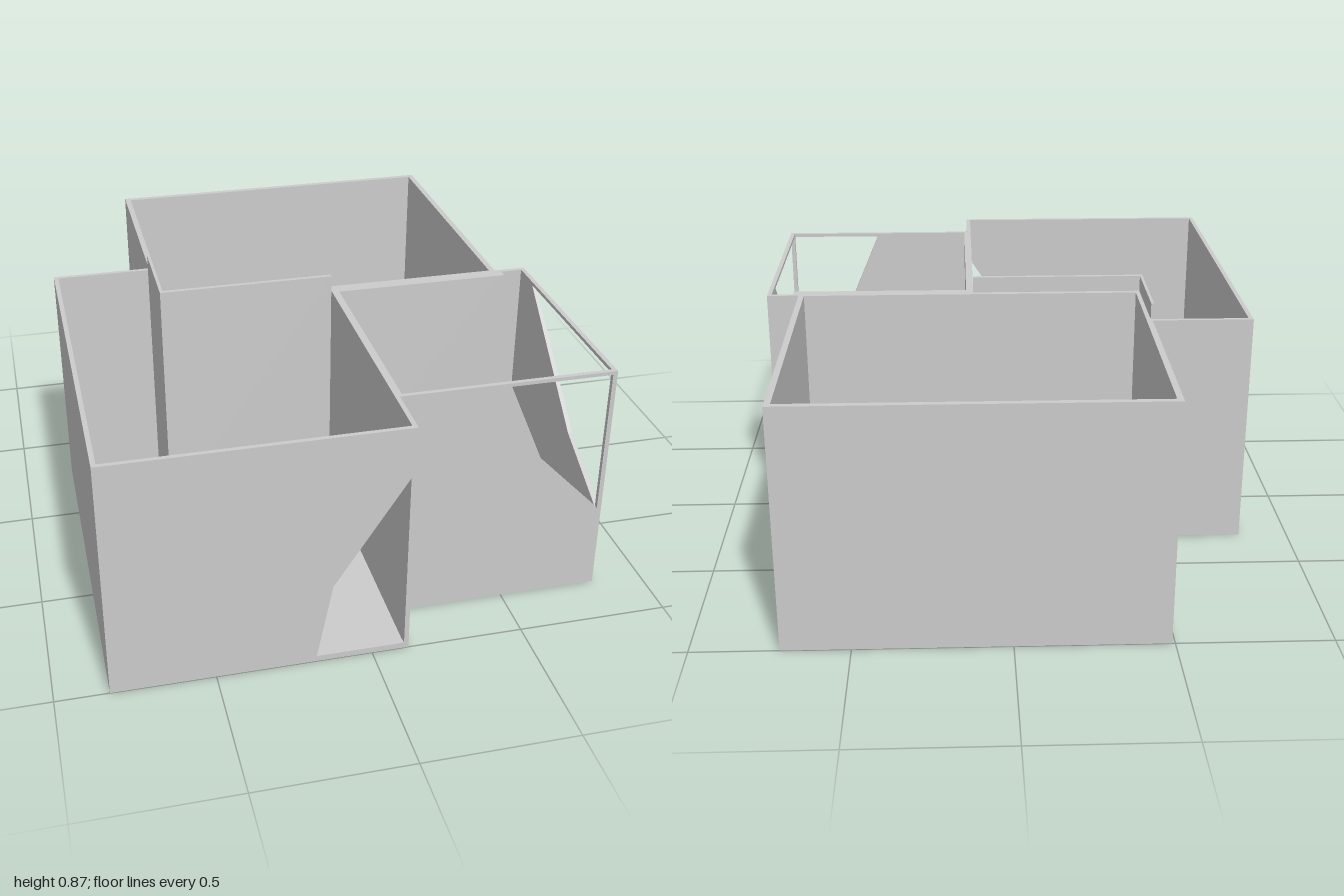
import * as THREE from 'three';

const H = 0.812; // wall height
const T = 0.015; // thin wall thickness
const material = new THREE.MeshStandardMaterial({ color: 0xcccccc, flatShading: true });

// Solid block given by its limits on each axis
function block(name, x0, x1, y0, y1, z0, z1) {
  const mesh = new THREE.Mesh(new THREE.BoxGeometry(x1 - x0, y1 - y0, z1 - z0), material);
  mesh.position.set((x0 + x1) / 2, (y0 + y1) / 2, (z0 + z1) / 2);
  mesh.name = name;
  return mesh;
}

// Upright panel from u0 to u1 with a polygonal opening, extruded by T
function openPanel(name, u0, u1, opening) {
  const shape = new THREE.Shape([[u0, 0], [u1, 0], [u1, H], [u0, H]].map(p => new THREE.Vector2(...p)));
  shape.holes.push(new THREE.Path(opening.map(p => new THREE.Vector2(...p))));
  const mesh = new THREE.Mesh(
    new THREE.ExtrudeGeometry(shape, { depth: T, bevelEnabled: false }), material);
  mesh.name = name;
  return mesh;
}

function room(name, ...parts) {
  const group = new THREE.Group();
  group.name = name;
  group.add(...parts);
  return group;
}

export function createModel() {
  const model = new THREE.Group();
  model.name = 'threeRooms';

  // Large rectangular room at the back
  model.add(room('backRoom',
    block('floor', -0.49, 0.72, 0, T, -1, 0),
    block('backWall', -0.49, 0.72, 0, H, -1, -0.98),
    block('rightWall', -0.49, -0.47, 0, H, -0.98, 0.02),
    block('leftWall', 0.70, 0.72, 0, H, -0.98, 0.02),
    block('frontWall', -0.47, 0.70, T, H, 0, 0.02)
  ));

  // L-shaped room with a broken front wall and raised inner partitions
  const brokenFront = openPanel('brokenFrontWall', -0.83, 0.12,
    [[0.105, 0.02], [0.105, 0.64], [-0.13, 0.28], [-0.18, 0.02]]);
  brokenFront.position.z = 1 - T;
  model.add(room('cornerRoom',
    block('mainFloor', -0.83, 0.12, 0, T, 0.035, 1 - T),
    block('sideFloor', -0.83, -0.49, 0, T, -0.3, 0.035),
    block('rightWall', -0.83, -0.83 + T, 0, H, -0.3, 1 - T),
    block('backWall', -0.83 + T, -0.49, 0, H, -0.3, -0.3 + T),
    block('leftWall', 0.105, 0.12, 0, H, 0.02, 1 - T),
    block('raisedSidePartition', -0.495, -0.485, T, 0.867, -0.285, 0.035),
    block('raisedBackPartition', -0.485, 0.105, T, 0.867, 0.02, 0.035),
    brokenFront
  ));

  // Small room whose outer corner is broken down to a thin frame
  const front = openPanel('brokenFrontWall', 0.12, 0.83,
    [[0.48, 0.8], [0.6, 0.52], [0.815, 0.3], [0.815, 0.8]]);
  front.position.z = 0.812 - T;
  // Panel turned to face +x, so its u axis runs along -z
  const side = openPanel('brokenLeftWall', -0.797, -0.005,
    [[-0.797 + 0.0005, 0.295], [-0.54, 0.43], [-0.13, 0.8], [-0.797 + 0.0005, 0.8]]);
  side.rotation.y = Math.PI / 2;
  side.position.x = 0.83 - T;
  model.add(room('smallRoom',
    block('floor', 0.13, 0.815, 0, T, 0.05, 0.797),
    block('recessFloor', 0.74, 0.815, 0, T, 0.02, 0.05),
    block('rightWall', 0.12, 0.13, T, H, 0.02, 0.797),
    block('backWall', 0.13, 0.72, T, H, 0.02, 0.05),
    block('backWallStep', 0.72, 0.74, 0, H, 0.005, 0.05),
    block('backReturn', 0.74, 0.815, 0, H, 0.005, 0.02),
    front, side
  ));

  return model;
}
